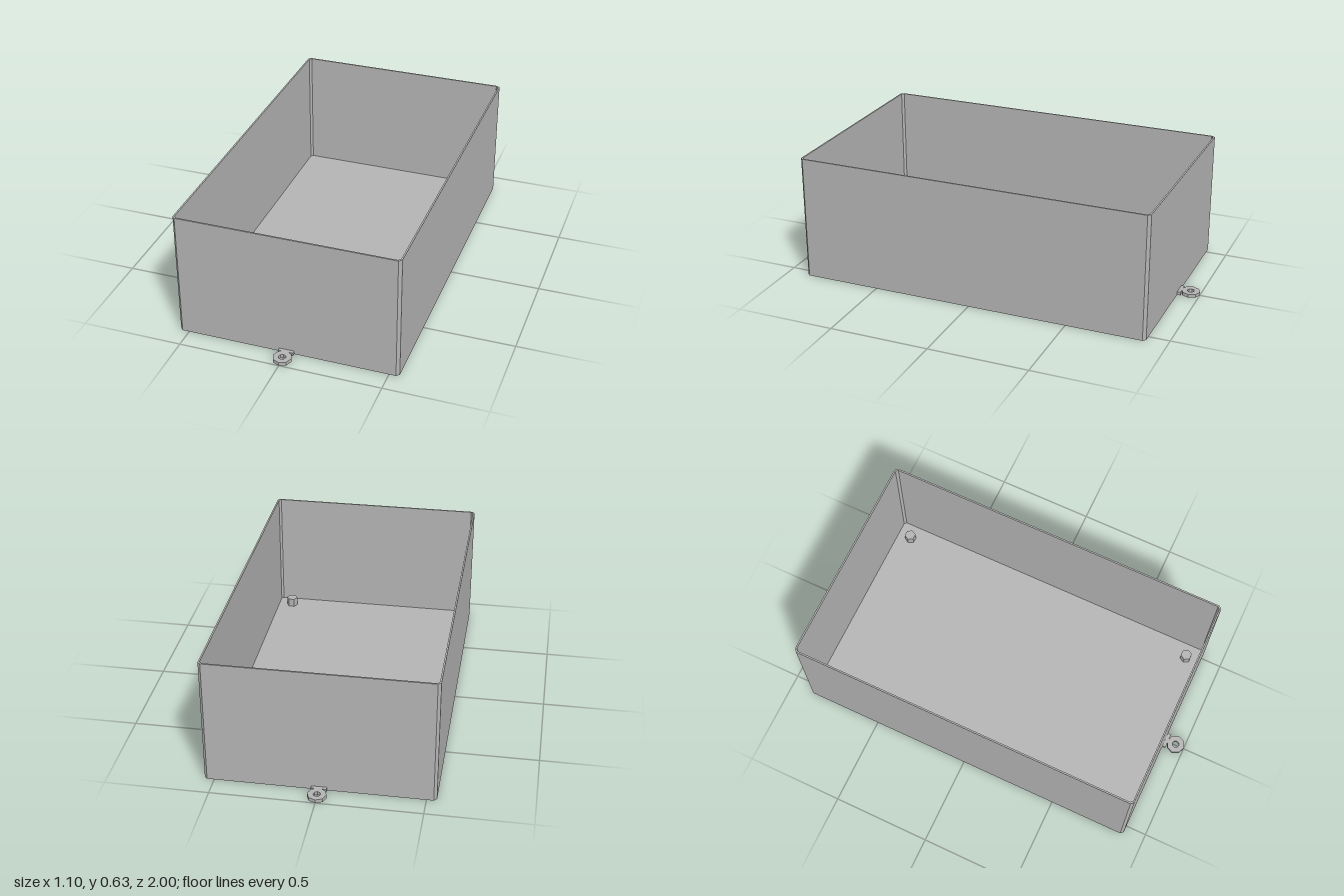
import * as THREE from 'three';

const HALF_X = 0.548, HALF_Z = 0.895, HEIGHT = 0.63;
const WALL = 0.008, FLOOR = 0.01, CHAMFER = 0.014;

// Corner points of a rectangle with clipped corners
function clippedRect(w, d, c) {
  return [
    [w, -d + c], [w, d - c], [w - c, d], [-w + c, d],
    [-w, d - c], [-w, -d + c], [-w + c, -d], [w - c, -d],
  ].map(([x, y]) => new THREE.Vector2(x, y));
}

function polygon(radius, sides) {
  return Array.from({ length: sides }, (_, i) => {
    const a = (i / sides) * Math.PI * 2;
    return new THREE.Vector2(Math.cos(a) * radius, Math.sin(a) * radius);
  });
}

// Extrude an outline upward, standing on y = 0
function slab(outline, height, hole) {
  const shape = new THREE.Shape(outline);
  if (hole) shape.holes.push(new THREE.Path(hole));
  return new THREE.ExtrudeGeometry(shape, { depth: height, bevelEnabled: false }).rotateX(-Math.PI / 2);
}

export function createModel() {
  const model = new THREE.Group();
  model.name = 'openBox';
  const grey = new THREE.MeshStandardMaterial({ color: 0xb3b3b3, flatShading: true });
  grey.name = 'grey';

  const add = (name, geometry, x = 0, y = 0, z = 0, parent = model) => {
    const mesh = new THREE.Mesh(geometry, grey);
    mesh.name = name;
    mesh.position.set(x, y, z);
    parent.add(mesh);
  };

  // Floor and thin surrounding walls
  const outer = clippedRect(HALF_X, HALF_Z, CHAMFER);
  const inner = clippedRect(HALF_X - WALL, HALF_Z - WALL, 0.011);
  add('floor', slab(outer, FLOOR), 0, 0, 0);
  add('walls', slab(outer, HEIGHT - FLOOR, inner), 0, FLOOR, 0);

  // Mounting lug with a screw hole at each end, and a hexagonal post inside
  for (const side of [1, -1]) {
    const lug = new THREE.Group();
    lug.name = side > 0 ? 'frontLug' : 'backLug';
    add('lugRing', slab(polygon(0.046, 8), 0.018, polygon(0.018, 8)), 0, 0, side * 0.954, lug);
    add('lugTab', new THREE.BoxGeometry(0.074, 0.017, 0.018), 0, 0.0085, side * 0.903, lug);
    model.add(lug);

    add(side > 0 ? 'frontPost' : 'backPost', slab(polygon(0.029, 6), 0.045), 0.465, FLOOR, side * 0.815);
  }
  return model;
}
